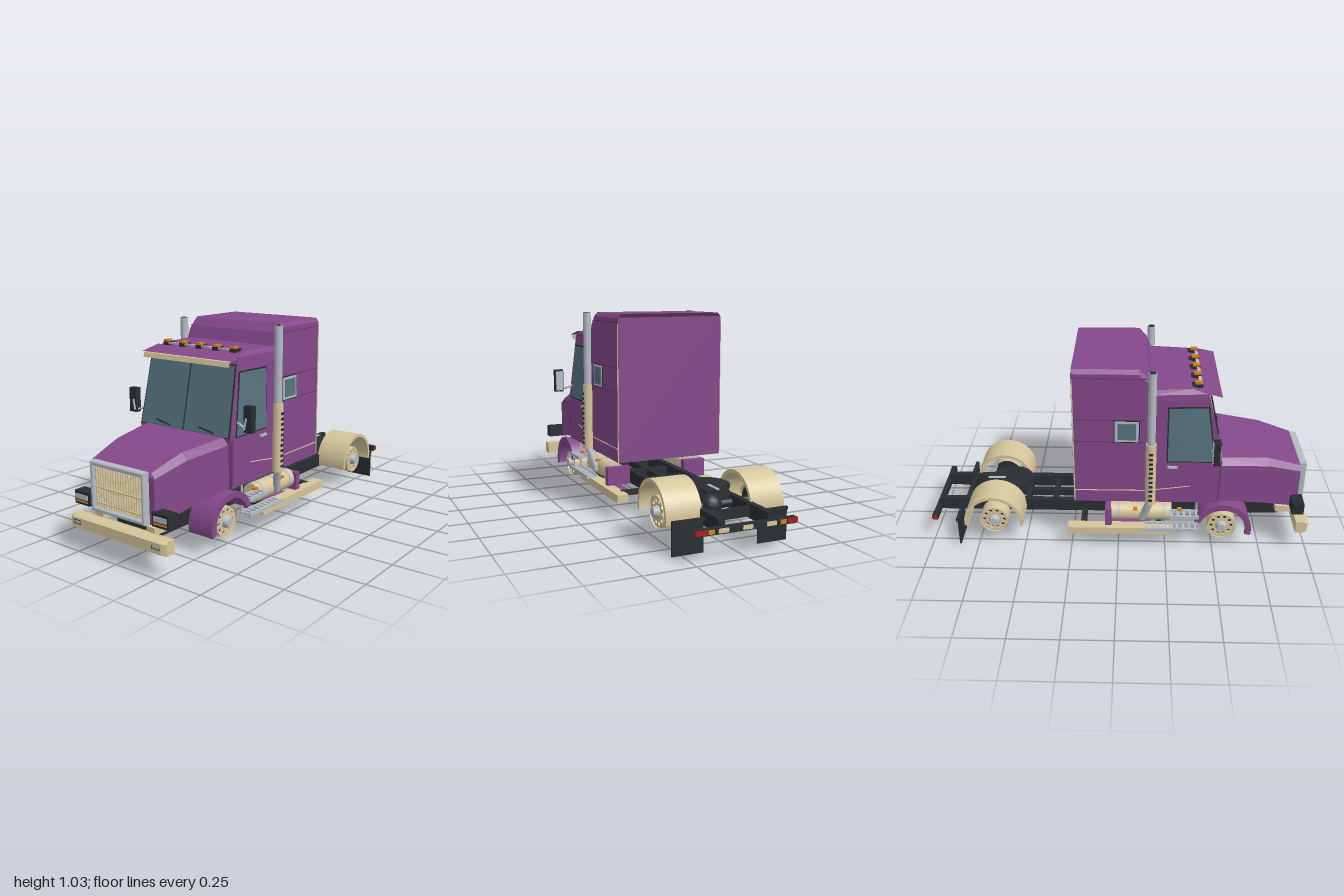
import * as THREE from 'three';

const mat = (color) => new THREE.MeshStandardMaterial({ color, side: THREE.DoubleSide });
const purple = mat(0x84488a), cream = mat(0xd6c59c), dark = mat(0x292e32), glass = mat(0x577480);
const grey = mat(0xb4bcc4), orange = mat(0xd98218), red = mat(0xa82222), darkPurple = mat(0x5a3060);

export function createModel() {
  const root = new THREE.Group();
  root.name = 'tractorTruck';
  const add = (name, geo, m) => {
    const mesh = new THREE.Mesh(geo, m);
    mesh.name = name;
    root.add(mesh);
    return mesh;
  };
  // box from min/max extents
  const box = (name, m, x0, x1, y0, y1, z0, z1) =>
    add(name, new THREE.BoxGeometry(Math.abs(x1 - x0), y1 - y0, Math.abs(z1 - z0))
      .translate((x0 + x1) / 2, (y0 + y1) / 2, (z0 + z1) / 2), m);
  // round bar between two points
  const rod = (name, m, a, b, r, n = 16) => {
    const p = new THREE.Vector3(...a), q = new THREE.Vector3(...b), d = q.clone().sub(p);
    const mesh = add(name, new THREE.CylinderGeometry(r, r, d.length(), n), m);
    mesh.quaternion.setFromUnitVectors(new THREE.Vector3(0, 1, 0), d.normalize());
    mesh.position.copy(p.add(q).multiplyScalar(0.5));
    return mesh;
  };
  // flat-faced skin over rows of points
  const loft = (name, m, rows) => {
    const pos = [];
    for (let i = 0; i + 1 < rows.length; i++) for (let j = 0; j + 1 < rows[i].length; j++) {
      const a = rows[i][j], b = rows[i][j + 1], c = rows[i + 1][j + 1], d = rows[i + 1][j];
      pos.push(...a, ...b, ...c, ...a, ...c, ...d);
    }
    const g = new THREE.BufferGeometry();
    g.setAttribute('position', new THREE.Float32BufferAttribute(pos, 3));
    g.computeVertexNormals();
    return add(name, g, m);
  };
  // shape drawn in (z, y), extruded from x0 to x1
  const prism = (name, m, shape, x0, x1) =>
    add(name, new THREE.ExtrudeGeometry(shape, { depth: x1 - x0, bevelEnabled: false, curveSegments: 20 })
      .rotateY(-Math.PI / 2).translate(x1, 0, 0), m);
  const span = (s, a, b) => (s > 0 ? [a, b] : [-b, -a]);
  const arch = (z, y, ro, ri, a0, a1) => {
    const sh = new THREE.Shape();
    sh.absarc(z, y, ro, a0, a1, false);
    sh.absarc(z, y, ri, a1, a0, true);
    return sh;
  };

  // cab shell, open underneath
  const cabRow = (y, wr, wf, zf) => [[-wr, y, 0.165], [-wf, y, zf], [wf, y, zf], [wr, y, 0.165]];
  loft('cab', purple, [
    cabRow(0.285, 0.288, 0.288, 0.52), cabRow(0.53, 0.289, 0.289, 0.525), cabRow(0.87, 0.289, 0.272, 0.45),
    cabRow(0.90, 0.287, 0.27, 0.44), cabRow(0.922, 0.275, 0.255, 0.36), cabRow(0.923, 0.275, 0.255, 0.165)]);

  // sleeper shell with raised roof
  const sleeperRow = (z, top) => [[-0.287, 0.285, z], [-0.287, top - 0.02, z], [-0.27, top, z],
    [0.27, top, z], [0.287, top - 0.02, z], [0.287, 0.285, z]];
  loft('sleeper', purple, [sleeperRow(-0.227, 1.028), sleeperRow(0.10, 1.028), sleeperRow(0.14, 0.985), sleeperRow(0.165, 0.92)]);
  box('sleeperBack', purple, -0.286, 0.286, 0.285, 1.01, -0.229, -0.222);

  // hood
  const hoodRow = (z, w, bot, sh, wt, top) =>
    [[-w, bot, z], [-w, sh, z], [-wt, top, z], [wt, top, z], [w, sh, z], [w, bot, z]];
  loft('hood', purple, [hoodRow(0.945, 0.205, 0.215, 0.43, 0.185, 0.455), hoodRow(0.77, 0.232, 0.25, 0.475, 0.205, 0.51),
    hoodRow(0.52, 0.275, 0.29, 0.50, 0.245, 0.533)]);
  box('hoodFront', purple, -0.2, 0.2, 0.215, 0.43, 0.935, 0.946);

  // windshield with frame, divider and wipers
  const shield = (name, m, e, off) => {
    const q = (x, y, z) => [x, y, z + off];
    loft(name, m, [[q(-0.278 - e, 0.535 - e, 0.524), q(0.278 + e, 0.535 - e, 0.524)],
      [q(-0.264 - e, 0.862 + e, 0.452), q(0.264 + e, 0.862 + e, 0.452)]]);
  };
  shield('windshieldFrame', dark, 0.006, 0.003);
  shield('windshield', glass, 0, 0.006);
  shield('windshieldInside', glass, 0, -0.006);
  rod('windshieldDivider', dark, [0, 0.53, 0.531], [0, 0.865, 0.458], 0.004, 6);
  for (const x of [-0.13, 0.145]) rod('wiper', dark, [x - 0.045, 0.562, 0.53], [x + 0.045, 0.546, 0.533], 0.004, 6);

  // visor
  loft('visorHood', purple, [[[-0.283, 0.89, 0.505], [0.283, 0.89, 0.505]], [[-0.275, 0.915, 0.40], [0.275, 0.915, 0.40]]]);
  loft('visor', cream, [[[-0.27, 0.862, 0.512], [0.27, 0.862, 0.512]], [[-0.272, 0.886, 0.506], [0.272, 0.886, 0.506]],
    [[-0.265, 0.892, 0.45], [0.265, 0.892, 0.45]]]);

  // roof marker lights on a segmented bar
  box('lightBar', cream, -0.22, 0.22, 0.922, 0.93, 0.395, 0.408);
  for (let i = -2; i <= 2; i++) {
    const x = i * 0.106;
    box('markerBase', dark, x - 0.016, x + 0.016, 0.915, 0.932, 0.36, 0.412);
    box('markerLight', orange, x - 0.012, x + 0.012, 0.93, 0.943, 0.375, 0.41);
    if (i < 2) box('lightBarSegment', grey, x + 0.03, x + 0.076, 0.923, 0.932, 0.40, 0.411);
  }

  // grille
  const rect = (P, x0, x1, y0, y1) => {
    const p = new P();
    p.moveTo(x0, y0); p.lineTo(x1, y0); p.lineTo(x1, y1); p.lineTo(x0, y1); p.closePath();
    return p;
  };
  const frame = rect(THREE.Shape, -0.165, 0.165, 0.222, 0.452);
  frame.holes.push(rect(THREE.Path, -0.155, 0.155, 0.232, 0.442));
  add('grilleFrame', new THREE.ExtrudeGeometry(frame, { depth: 0.03, bevelSize: 0.005, bevelThickness: 0.005, bevelSegments: 1 })
    .translate(0, 0, 0.947), grey);
  box('grilleBack', dark, -0.156, 0.156, 0.231, 0.443, 0.94, 0.956);
  for (let i = 0; i < 19; i++) {
    const x = -0.144 + i * 0.016;
    box('grilleBar', cream, x - 0.002, x + 0.002, 0.232, 0.442, 0.956, 0.968);
  }
  for (const y of [0.26, 0.335, 0.437]) box('grilleCrossbar', cream, -0.155, 0.155, y - 0.003, y + 0.003, 0.962, 0.973);

  // bumper
  loft('bumper', cream, [0.11, 0.11, 0.118, 0.168, 0.176, 0.176].map((y, i) => {
    const f = [0.94, 0.985, 1, 1, 0.985, 0.94][i];
    return [[-0.3, y, 0.935], [-0.302, y, f - 0.012], [-0.28, y, f], [0.28, y, f], [0.302, y, f - 0.012], [0.3, y, 0.935]];
  }));
  box('bumperBack', cream, -0.3, 0.3, 0.11, 0.176, 0.933, 0.938);

  // ladder chassis
  for (const z of [0.84, 0.6, 0.3, 0.05, -0.15, -0.35, -0.5, -0.66, -0.83])
    box('crossMember', dark, -0.11, 0.11, 0.13, 0.175, z - 0.012, z + 0.012);
  box('driveShaft', dark, -0.016, 0.016, 0.135, 0.17, -0.6, 0.45);
  rod('oilPan', dark, [0, 0.13, 0.45], [0, 0.13, 0.75], 0.042);
  box('radiatorSupport', dark, -0.1, 0.1, 0.1, 0.205, 0.85, 0.875);
  rod('frontAxle', dark, [-0.22, 0.13, 0.545], [0.22, 0.13, 0.545], 0.018);
  rod('rearAxle', dark, [-0.22, 0.15, -0.66], [0.22, 0.15, -0.66], 0.022);
  add('differential', new THREE.SphereGeometry(0.055, 16, 10).translate(0, 0.15, -0.66), dark);

  // fifth wheel coupling
  rod('couplingPlate', dark, [0, 0.225, -0.6], [0, 0.24, -0.6], 0.12, 32);
  box('couplingBase', dark, -0.1, 0.1, 0.18, 0.226, -0.66, -0.54);
  box('couplingRamp', dark, -0.06, 0.06, 0.222, 0.236, -0.73, -0.65);
  box('couplingSlot', grey, -0.008, 0.008, 0.238, 0.243, -0.73, -0.635);

  // rear light bar
  box('rearBar', dark, -0.25, 0.25, 0.125, 0.155, -0.996, -0.97);
  for (const x of [-0.12, 0, 0.12]) box('rearPlate', cream, x - 0.025, x + 0.025, 0.13, 0.15, -0.999, -0.99);

  // wheel rim: perforated disc, barrel, hub
  const rim = (s, z, y) => {
    const disc = new THREE.Shape().absarc(0, 0, 0.074, 0, Math.PI * 2);
    for (let i = 0; i < 10; i++) {
      const a = i * Math.PI / 5;
      disc.holes.push(new THREE.Path().absarc(Math.cos(a) * 0.053, Math.sin(a) * 0.053, 0.009, 0, Math.PI * 2, true));
    }
    const wheel = new THREE.Group();
    wheel.name = 'wheel';
    const part = (name, g, m) => { const w = new THREE.Mesh(g, m); w.name = name; wheel.add(w); };
    part('rimDisc', new THREE.ExtrudeGeometry(disc, { depth: 0.008, bevelEnabled: false, curveSegments: 12 }), cream);
    part('rimBarrel', new THREE.CylinderGeometry(0.075, 0.075, 0.08, 32, 1, true).rotateX(Math.PI / 2).translate(0, 0, -0.025), cream);
    part('brakeDrum', new THREE.CylinderGeometry(0.066, 0.066, 0.04, 24).rotateX(Math.PI / 2).translate(0, 0, -0.035), dark);
    part('hub', new THREE.CylinderGeometry(0.022, 0.032, 0.03, 20).rotateX(Math.PI / 2).translate(0, 0, 0.02), grey);
    wheel.rotation.y = s * Math.PI / 2;
    wheel.position.set(s * 0.265, y, z);
    root.add(wheel);
  };

  // parts repeated on both sides
  for (const s of [1, -1]) {
    const sbox = (name, m, x0, x1, ...r) => box(name, m, s * x0, s * x1, ...r);
    const srod = (name, m, a, b, r, n) => rod(name, m, [s * a[0], a[1], a[2]], [s * b[0], b[1], b[2]], r, n);
    sbox('chassisRail', dark, 0.106, 0.137, 0.12, 0.187, -0.98, 0.855);
    sbox('bumperBracket', cream, 0.14, 0.19, 0.165, 0.2, 0.84, 0.94);
    sbox('bumperLampFrame', dark, 0.225, 0.275, 0.137, 0.159, 0.99, 1.0);
    sbox('bumperLamp', grey, 0.23, 0.27, 0.141, 0.155, 0.992, 1.001);
    // headlights
    sbox('headlightCase', dark, 0.2, 0.297, 0.222, 0.287, 0.905, 0.965);
    sbox('headlight', grey, 0.21, 0.287, 0.248, 0.272, 0.96, 0.969);
    sbox('turnSignal', orange, 0.21, 0.287, 0.234, 0.241, 0.96, 0.969);
    // wheels and fenders
    rim(s, 0.545, 0.13);
    rim(s, -0.66, 0.15);
    prism('frontFender', purple, arch(0.545, 0.13, 0.15, 0.132, -0.2, 2.8), ...span(s, 0.17, 0.31));
    prism('frontFenderLip', purple, arch(0.545, 0.13, 0.153, 0.122, -0.2, 2.8), ...span(s, 0.295, 0.315));
    prism('rearFender', cream, arch(-0.66, 0.15, 0.155, 0.138, -0.15, Math.PI + 0.15), ...span(s, 0.127, 0.305));
    // mud flaps and tail lights
    sbox('mudFlap', dark, 0.14, 0.295, 0.0, 0.157, -0.854, -0.847);
    sbox('mudFlapBracket', dark, 0.13, 0.295, 0.145, 0.16, -0.862, -0.846);
    sbox('tailLight', red, 0.2, 0.254, 0.129, 0.152, -1.0, -0.975);
    sbox('tailSignal', orange, 0.165, 0.195, 0.13, 0.15, -0.999, -0.975);
    // door window, following the cab wall
    const wall = (y, z, o) => [s * (0.289 - 0.017 * Math.max(0, (y - 0.53) / 0.34) * (z - 0.165) / 0.285 + o), y, z];
    const pane = (name, m, e, o) => loft(name, m, [0, 0.5, 1].map((t) => {
      const y = 0.535 - e + t * (0.295 + 2 * e);
      return [0, 0.5, 1].map((u) => wall(y, 0.25 - e + u * (0.235 + 2 * e - t * 0.045), o));
    }));
    pane('doorWindowFrame', dark, 0.007, 0.003);
    pane('doorWindow', glass, 0, 0.006);
    pane('doorWindowInside', glass, 0, -0.006);
    // sleeper window, seams and trim
    sbox('sleeperWindowSeal', dark, 0.28, 0.291, 0.638, 0.762, -0.022, 0.107);
    sbox('sleeperWindowFrame', grey, 0.28, 0.293, 0.643, 0.757, -0.017, 0.102);
    sbox('sleeperWindow', glass, 0.278, 0.295, 0.655, 0.745, -0.004, 0.088);
    for (const y of [0.64, 0.762, 0.985]) sbox('panelSeam', darkPurple, 0.28, 0.2885, y - 0.0015, y + 0.0015, -0.225, 0.135);
    sbox('doorSeam', darkPurple, 0.28, 0.2905, 0.3, 0.53, 0.515, 0.519);
    sbox('sideStripe', cream, 0.28, 0.2895, 0.352, 0.357, -0.225, 0.14);
    srod('doorStripe', cream, [0.288, 0.385, 0.37], [0.288, 0.36, 0.19], 0.003, 6);
    sbox('cornerTrim', cream, 0.28, 0.2895, 0.29, 0.98, -0.228, -0.222);
    sbox('doorHandle', grey, 0.285, 0.3, 0.495, 0.506, 0.25, 0.3);
    // mirror
    sbox('mirror', dark, 0.344, 0.391, 0.567, 0.692, 0.468, 0.5);
    sbox('mirrorGlass', grey, 0.348, 0.387, 0.575, 0.684, 0.465, 0.47);
    srod('mirrorArm', grey, [0.285, 0.6, 0.47], [0.365, 0.575, 0.49], 0.006, 8);
    srod('mirrorStay', grey, [0.35, 0.58, 0.504], [0.362, 0.635, 0.503], 0.005, 8);
    // exhaust stack with slotted heat shield
    srod('exhaustStack', grey, [0.305, 0.29, 0.165], [0.305, 1.026, 0.165], 0.0205, 20);
    srod('exhaustMouth', dark, [0.305, 1.02, 0.165], [0.305, 1.0275, 0.165], 0.017, 20);
    srod('heatShield', cream, [0.305, 0.29, 0.165], [0.305, 0.64, 0.165], 0.027, 20);
    for (let i = 0; i < 11; i++) sbox('shieldSlot', dark, 0.325, 0.3335, 0.315 + i * 0.027, 0.328 + i * 0.027, 0.155, 0.175);
    srod('exhaustElbow', grey, [0.305, 0.3, 0.165], [0.27, 0.17, 0.125], 0.02, 16);
    // fuel tank with bands and end step
    srod('fuelTank', cream, [0.225, 0.188, -0.04], [0.225, 0.188, 0.28], 0.05, 24);
    for (const z of [0.0, 0.12, 0.24]) srod('tankBand', grey, [0.225, 0.188, z - 0.006], [0.225, 0.188, z + 0.006], 0.052, 24);
    sbox('tankEndPlate', purple, 0.16, 0.285, 0.13, 0.225, -0.07, -0.035);
    sbox('tankTray', purple, 0.16, 0.285, 0.076, 0.095, -0.07, 0.17);
    for (const z of [0.09, 0.32]) sbox('sideMarker', orange, 0.27, 0.29, 0.23, 0.24, z - 0.012, z + 0.012);
    sbox('sideSkirt', cream, 0.25, 0.31, 0.09, 0.13, -0.267, 0.29);
    sbox('skirtBracket', dark, 0.13, 0.26, 0.105, 0.13, -0.2, -0.17);
    sbox('skirtBracket', dark, 0.13, 0.26, 0.105, 0.13, 0.2, 0.23);
    // ladder steps
    for (const [y, z0, z1] of [[0.212, 0.27, 0.42], [0.132, 0.14, 0.42]]) {
      for (const x of [0.265, 0.32]) sbox('stepRail', grey, x - 0.005, x + 0.005, y - 0.009, y + 0.009, z0, z1);
      for (let z = z0 + 0.01; z < z1; z += 0.032) sbox('stepRung', grey, 0.265, 0.32, y - 0.004, y + 0.004, z - 0.006, z + 0.006);
    }
    srod('stepHanger', grey, [0.265, 0.132, 0.41], [0.265, 0.29, 0.41], 0.006, 8);
  }
  return root;
}
